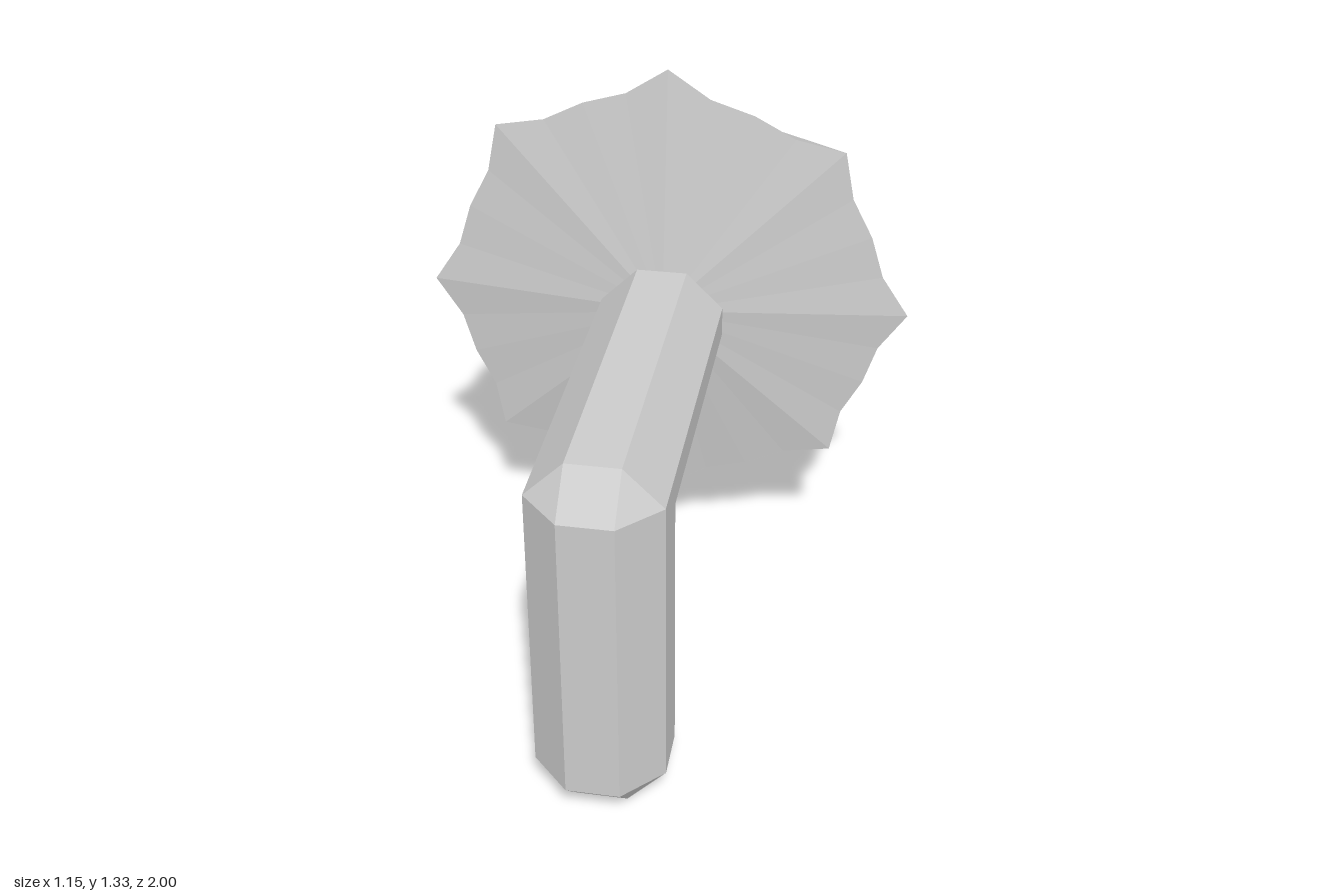
import * as THREE from 'three';

const material = new THREE.MeshStandardMaterial({ color: 0xcccccc, flatShading: true });

// Flat-shaded mesh from a list of triangles, dropping collapsed ones
function facetedMesh(name, triangles) {
  const kept = triangles.filter((t) => new THREE.Triangle(...t).getArea() > 1e-7);
  const geometry = new THREE.BufferGeometry().setFromPoints(kept.flat());
  geometry.computeVertexNormals();
  const mesh = new THREE.Mesh(geometry, material);
  mesh.name = name;
  return mesh;
}

// Plate with a side outline in [z, y], extruded across x
function sidePlate(name, outline, width) {
  const shape = new THREE.Shape(outline.map(([z, y]) => new THREE.Vector2(-z, y)));
  const geometry = new THREE.ExtrudeGeometry(shape, { depth: width, bevelEnabled: false });
  geometry.translate(0, 0, -width / 2).rotateY(Math.PI / 2);
  const mesh = new THREE.Mesh(geometry, material);
  mesh.name = name;
  return mesh;
}

// Bent octagonal body: grip rising from the floor, turning into the barrel
function createBody() {
  const flat = 0.058, wide = 0.143, cx = 0.003;
  // Each section: [z, y] of outer flat, outer edge, inner edge, inner flat; then side half-width
  const sections = [
    [[0.915, 0], [0.915, 0], [0.8, 0], [0.8, 0], flat],
    [[1, 0.09], [0.915, 0.09], [0.8, 0.09], [0.715, 0.09], wide],
    [[1, 0.785], [0.915, 0.785], [0.8, 0.53], [0.715, 0.53], wide],
    [[1, 0.785], [0.915, 0.785], [0.8, 0.715], [0.715, 0.53], wide],
    [[0.915, 0.87], [0.915, 0.785], [0.8, 0.715], [0.625, 0.625], wide],
    [[0.625, 0.87], [0.625, 0.785], [0.625, 0.715], [0.625, 0.625], wide],
    [[0.12, 0.87], [0.12, 0.785], [0.12, 0.715], [0.12, 0.625], wide],
    [[0.035, 0.785], [0.035, 0.785], [0.035, 0.715], [0.035, 0.715], flat],
  ];
  const rings = sections.map(([o, oe, ie, i, side]) => {
    const half = [[flat, o], [side, oe], [side, ie], [flat, i]];
    const point = (sign) => ([x, [z, y]]) => new THREE.Vector3(cx + sign * x, y, z);
    return [...half.map(point(1)), ...half.map(point(-1)).reverse()];
  });
  const triangles = [];
  for (let r = 0; r < rings.length - 1; r++) {
    const a = rings[r], b = rings[r + 1];
    for (let i = 0; i < 8; i++) {
      const j = (i + 1) % 8;
      triangles.push([a[i], a[j], b[j]], [a[i], b[j], b[i]]);
    }
  }
  // End caps
  const first = rings[0], last = rings[rings.length - 1];
  for (let i = 1; i < 7; i++) {
    triangles.push([first[0], first[i + 1], first[i]], [last[0], last[i], last[i + 1]]);
  }
  return facetedMesh('gripAndBarrel', triangles);
}

// Pleated cone with a scalloped rim, closed by a shallow pleated cone in front
function createCone() {
  const corners = [
    [0, 1.327], [-0.405, 1.165], [-0.575, 0.745], [-0.42, 0.34],
    [0, 0.197], [0.405, 0.35], [0.572, 0.745], [0.408, 1.153],
  ];
  const inset = [1, 0.957, 0.975, 0.957];
  const rim = [];
  corners.forEach(([x, y], k) => {
    const [nx, ny] = corners[(k + 1) % corners.length];
    inset.forEach((s, i) => {
      const t = i / inset.length;
      const px = THREE.MathUtils.lerp(x, nx, t), py = THREE.MathUtils.lerp(y, ny, t);
      rim.push(new THREE.Vector3(px * s, 0.75 + (py - 0.75) * s, 0.015));
    });
  });
  const tip = new THREE.Vector3(-0.03, 0.8, -1);
  const hub = new THREE.Vector3(0, 0.75, 0.095);
  const outside = [], inside = [];
  rim.forEach((p, i) => {
    const q = rim[(i + 1) % rim.length];
    outside.push([tip, q, p]);
    inside.push([hub, p, q]);
  });
  const group = new THREE.Group();
  group.name = 'pleatedCone';
  group.add(facetedMesh('coneOutside', outside), facetedMesh('coneFront', inside));
  return group;
}

export function createModel() {
  const model = new THREE.Group();
  model.name = 'coneBlaster';
  model.add(createBody(), createCone());

  // Trigger and the small hook behind it
  model.add(sidePlate('trigger', [
    [0.495, 0.63], [0.41, 0.475], [0.46, 0.38], [0.415, 0.38], [0.375, 0.47], [0.375, 0.63],
  ], 0.11));
  model.add(sidePlate('hook', [
    [0.57, 0.61], [0.6, 0.545], [0.555, 0.475], [0.525, 0.475], [0.565, 0.545], [0.54, 0.61],
  ], 0.05));

  // Tapered mount that carries the hook
  const mountGeometry = new THREE.CylinderGeometry(0.06 * Math.SQRT2, 0.02 * Math.SQRT2, 0.024, 4);
  mountGeometry.rotateY(Math.PI / 4);
  const mount = new THREE.Mesh(mountGeometry, material);
  mount.name = 'hookMount';
  mount.position.set(0, 0.615, 0.56);
  model.add(mount);
  return model;
}
